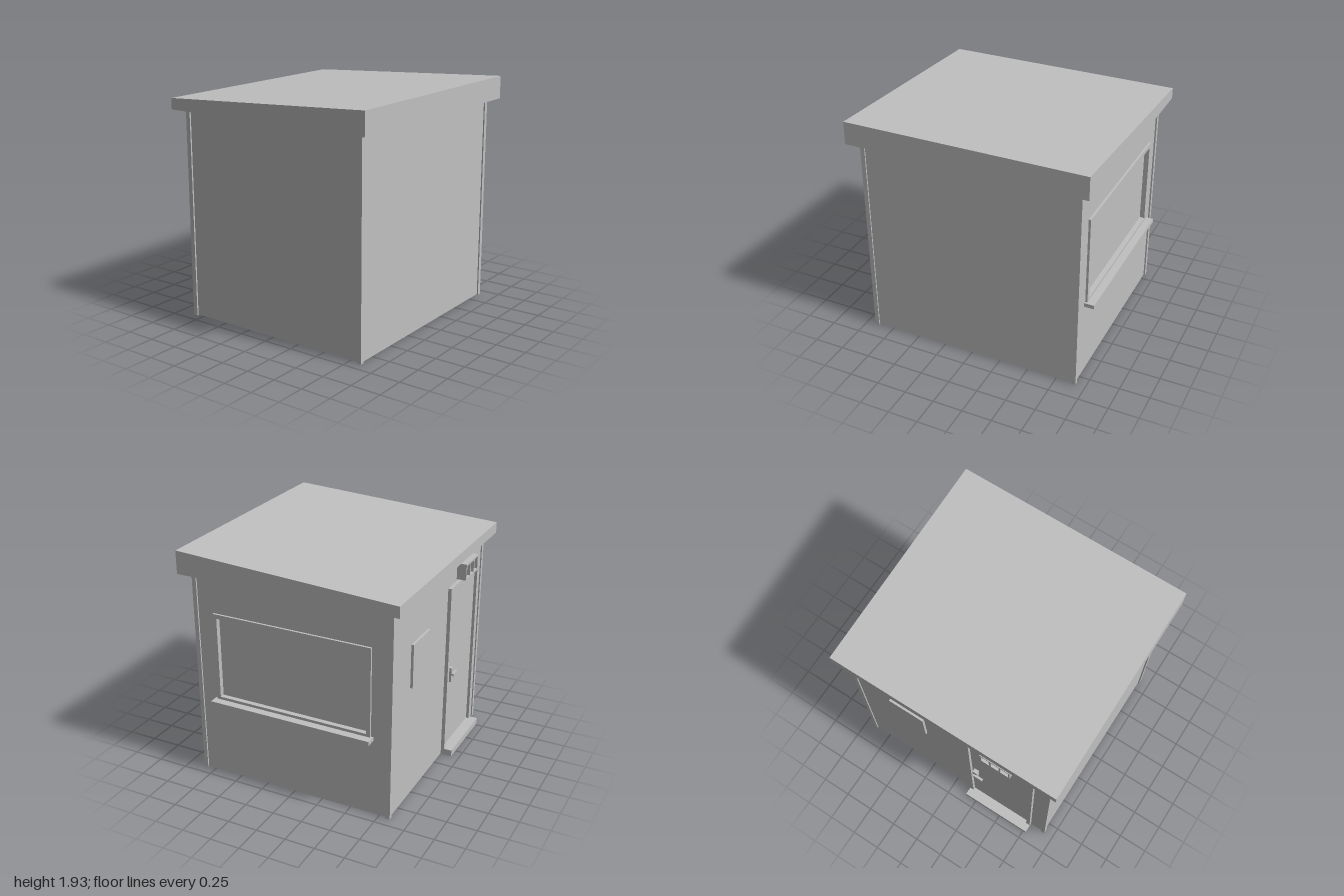
import * as THREE from 'three';

const grey = new THREE.MeshStandardMaterial({ color: 0xc0c0c0 });
grey.name = 'lightGrey';

function add(parent, name, geometry) {
  const mesh = new THREE.Mesh(geometry, grey);
  mesh.name = name;
  parent.add(mesh);
  return mesh;
}

// Box given by its lower and upper limits on each axis
function block(parent, name, [x0, x1], [y0, y1], [z0, z1]) {
  const mesh = add(parent, name, new THREE.BoxGeometry(x1 - x0, y1 - y0, z1 - z0));
  mesh.position.set((x0 + x1) / 2, (y0 + y1) / 2, (z0 + z1) / 2);
  return mesh;
}

function rect(target, [a0, a1], [b0, b1]) {
  target.moveTo(a0, b0);
  target.lineTo(a1, b0);
  target.lineTo(a1, b1);
  target.lineTo(a0, b1);
  target.closePath();
  return target;
}

// Rectangular plate with rectangular holes, extruded along +z
function holedPlate(a, b, holes, depth) {
  const shape = rect(new THREE.Shape(), a, b);
  for (const [ha, hb] of holes) shape.holes.push(rect(new THREE.Path(), ha, hb));
  return new THREE.ExtrudeGeometry(shape, { depth, bevelEnabled: false });
}

function group(parent, name) {
  const g = new THREE.Group();
  g.name = name;
  parent.add(g);
  return g;
}

export function createModel() {
  const model = new THREE.Group();
  model.name = 'guardBooth';
  const wallBack = -0.837, wallFront = 0.847, wallSide = 0.908, glass = 0.885;

  // Body core; its +x face is the window pane
  block(model, 'body', [-wallSide, glass], [0.005, 1.744], [wallBack, wallFront]);

  // Window wall and frame: shape x runs along -z after the turn
  const opening = [[-0.65, 0.638], [0.713, 1.396]];
  const wall = add(model, 'windowWall',
    holedPlate([-wallFront, -wallBack], [0.005, 1.744], [opening], wallSide - glass));
  wall.rotation.y = Math.PI / 2;
  wall.position.x = glass;

  const windowGroup = group(model, 'window');
  const frame = add(windowGroup, 'windowFrame',
    holedPlate([-0.683, 0.673], [0.69, 1.432], [opening], 0.926 - wallSide));
  frame.rotation.y = Math.PI / 2;
  frame.position.x = wallSide;
  block(windowGroup, 'windowSill', [0.9, 0.99], [0.657, 0.69], [-0.693, 0.703]);

  // Corner posts
  for (const s of [-1, 1]) {
    const x = s > 0 ? [0.884, 0.921] : [-0.921, -0.884];
    block(model, 'cornerPost', x, [0, 1.744], [0.822, 0.858]);
    block(model, 'cornerPost', x, [0, 1.744], [-0.847, -0.808]);
  }

  // Sloped roof, profile in (-z, y), extruded along x
  const profile = new THREE.Shape();
  profile.moveTo(-0.934, 1.744);
  profile.lineTo(0.924, 1.744);
  profile.lineTo(0.924, 1.836);
  profile.lineTo(-0.934, 1.934);
  profile.closePath();
  const roof = add(model, 'roof', new THREE.ExtrudeGeometry(profile, { depth: 2, bevelEnabled: false }));
  roof.rotation.y = Math.PI / 2;
  roof.position.x = -1;

  // Door on the back wall
  const door = group(model, 'door');
  const doorFrame = add(door, 'doorFrame', holedPlate([-0.777, -0.151], [0.005, 1.528],
    [[[-0.742, -0.186], [0.04, 1.493]]], 0.03));
  doorFrame.position.z = -0.866;
  block(door, 'doorLeaf', [-0.742, -0.186], [0.04, 1.493], [-0.842, -0.83]);
  block(door, 'doorStep', [-0.777, -0.151], [0, 0.055], [-0.933, -0.83]);
  block(door, 'handlePlate', [-0.25, -0.21], [0.672, 0.8], [-0.876, -0.84]);
  block(door, 'handleLever', [-0.31, -0.22], [0.725, 0.746], [-0.892, -0.872]);

  // Notice board beside the door
  block(model, 'noticeBoard', [0.25, 0.57], [0.98, 1.345], [-0.858, -0.83]);

  // Lamp box above the door with three recessed openings
  const lamp = group(model, 'lampBox');
  block(lamp, 'lampBack', [-0.6, -0.33], [1.545, 1.682], [-0.885, -0.83]);
  const cells = [0, 1, 2].map((i) => {
    const x = -0.585 + i * 0.085;
    return [[x, x + 0.07], [1.562, 1.665]];
  });
  const grille = add(lamp, 'lampFrame', holedPlate([-0.6, -0.33], [1.545, 1.682], cells, 0.032));
  grille.position.z = -0.917;

  return model;
}
